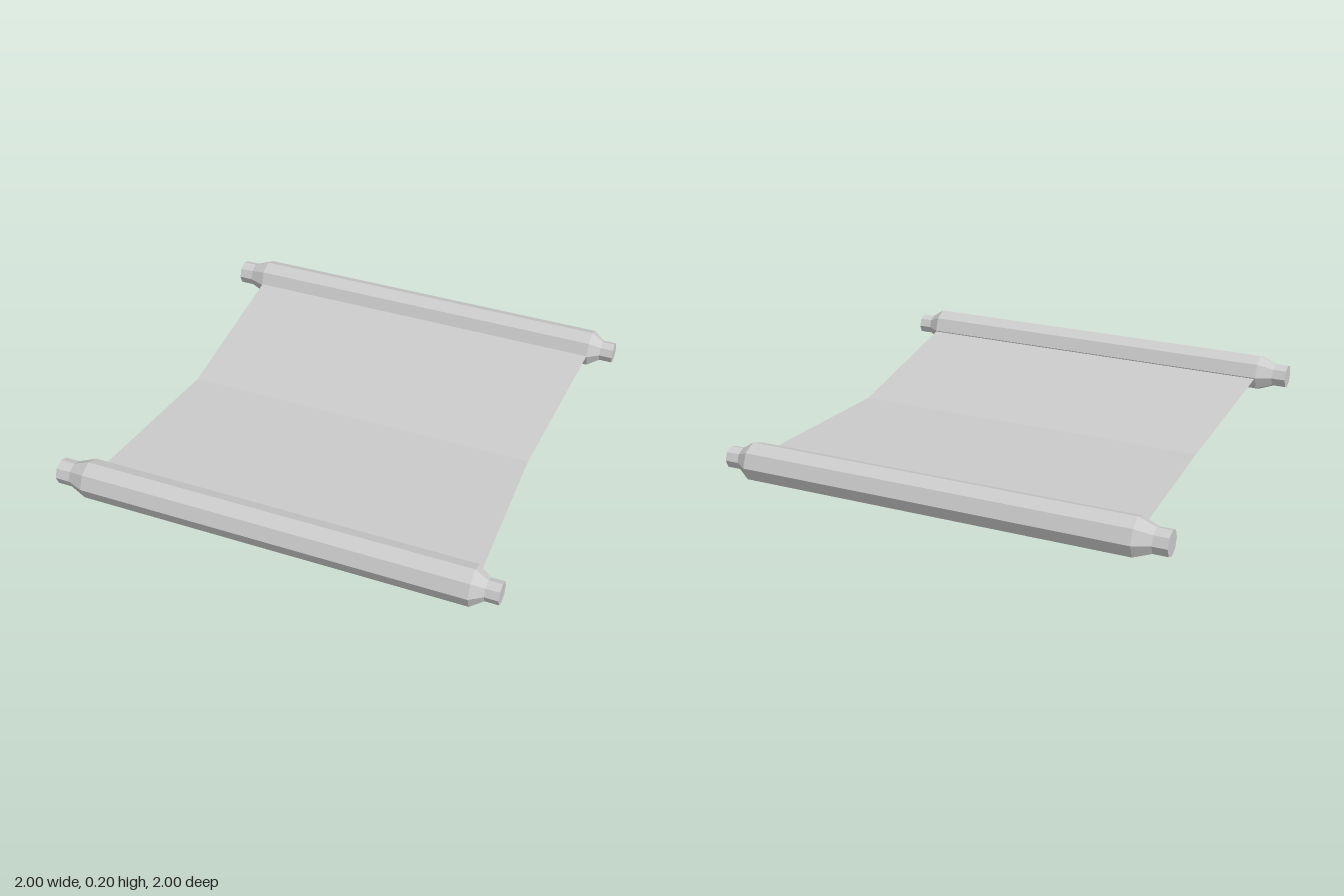
import * as THREE from 'three';

export function createModel() {
  const group = new THREE.Group();
  group.name = 'scroll';
  const rodMaterial = new THREE.MeshStandardMaterial({ color: 0xcccccc, flatShading: true });
  const sheetMaterial = new THREE.MeshStandardMaterial({
    color: 0xcccccc, flatShading: true, side: THREE.DoubleSide,
  });

  // Octagonal rod along x with a thicker knob on the right end: [radius, x]
  const profile = [
    [0, -1], [0.057, -1], [0.057, -0.935], [0.087, -0.86],
    [0.087, 0.885], [0.049, 0.94], [0.049, 1], [0, 1],
  ].map(([r, x]) => new THREE.Vector2(r, x));
  const rodGeometry = new THREE.LatheGeometry(profile, 8).rotateZ(-Math.PI / 2);

  const addRod = (name, y, z) => {
    const rod = new THREE.Mesh(rodGeometry, rodMaterial);
    rod.name = name;
    rod.position.set(0, y, z);
    group.add(rod);
  };
  addRod('frontRod', 0.116, 0.909);
  addRod('backRod', 0.09, -0.912);

  // Sagging sheet: narrowed and folded across the middle, ends inside the rods
  const sections = [
    { z: -0.86, y: 0.096, left: 0.887, right: -0.858 },
    { z: 0, y: 0.046, left: 0.84, right: -0.816 },
    { z: 0.86, y: 0.114, left: 0.887, right: -0.858 },
  ];
  const sheetGeometry = new THREE.PlaneGeometry(1, 1, 1, 2);
  const pos = sheetGeometry.attributes.position;
  sections.forEach((s, i) => {
    pos.setXYZ(i * 2, s.right, s.y, s.z);
    pos.setXYZ(i * 2 + 1, s.left, s.y, s.z);
  });
  sheetGeometry.computeVertexNormals();
  const sheet = new THREE.Mesh(sheetGeometry, sheetMaterial);
  sheet.name = 'sheet';
  group.add(sheet);

  return group;
}
